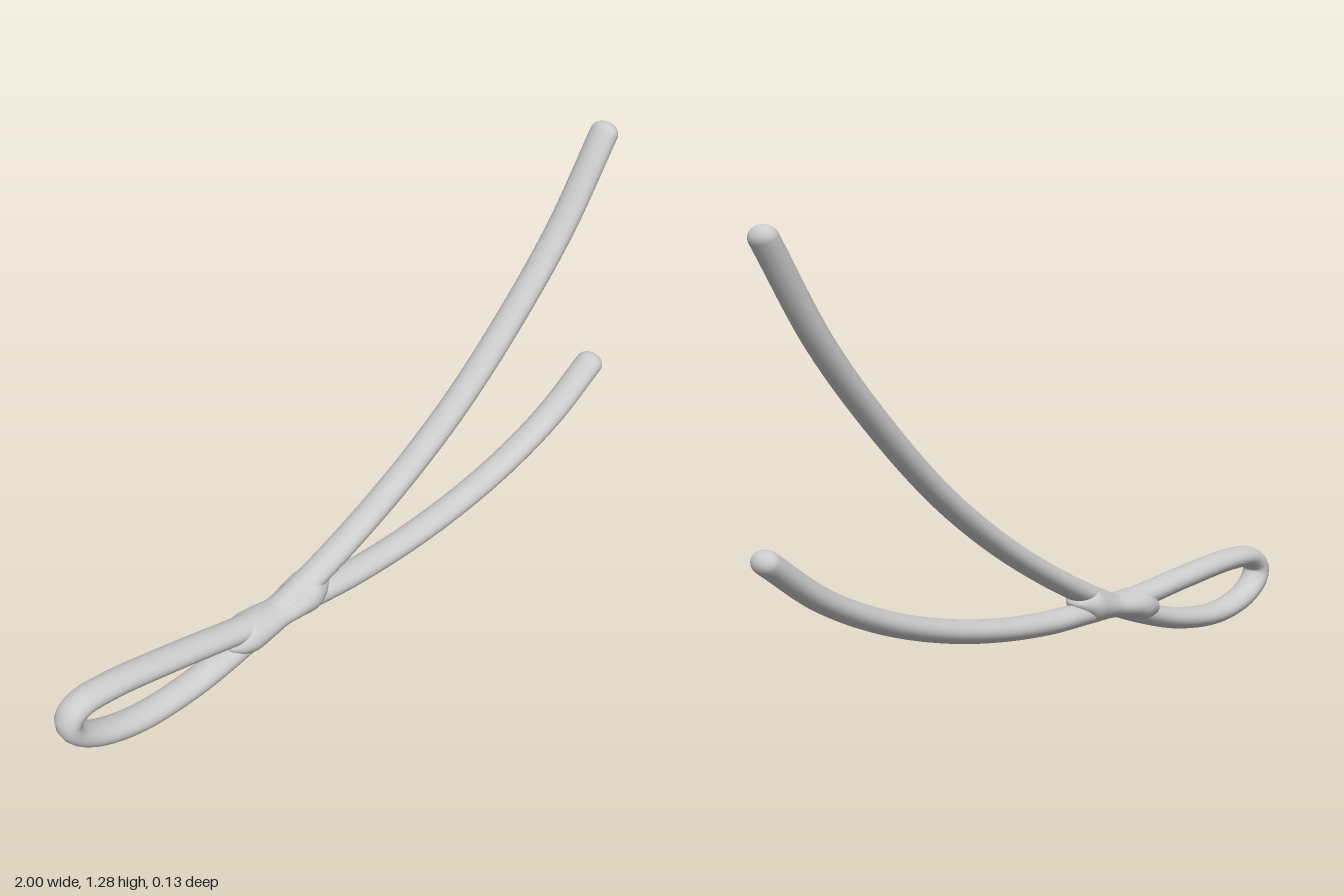
import * as THREE from 'three';

const SIDES = 28;

// Skin a list of sections { p, t, a, b }: centre, tangent in the xy plane,
// half thickness in that plane and half depth along z.
function loft(sections) {
  const pos = [], idx = [];
  sections.forEach(({ p, t, a, b }, i) => {
    for (let j = 0; j < SIDES; j++) {
      const th = (j / SIDES) * Math.PI * 2;
      const u = Math.cos(th) * a;
      pos.push(p.x - t.y * u, p.y + t.x * u, Math.sin(th) * b);
      if (i === sections.length - 1) continue;
      const k = i * SIDES + j, n = i * SIDES + ((j + 1) % SIDES);
      idx.push(k, n, k + SIDES, n, n + SIDES, k + SIDES);
    }
  });
  const g = new THREE.BufferGeometry();
  g.setAttribute('position', new THREE.Float32BufferAttribute(pos, 3));
  g.setIndex(idx);
  g.computeVertexNormals();
  return g;
}

const curveThrough = (pts) =>
  new THREE.CatmullRomCurve3(pts.map(([x, y]) => new THREE.Vector3(x, y, 0)), false, 'centripetal');

// Oval rod along a curve with domed ends
function rod(pts, a, b) {
  const curve = curveThrough(pts), N = 220, CAP = 8, sections = [];
  const dome = (u, sign, i) => {
    const t = curve.getTangentAt(u), ang = (i / CAP) * Math.PI / 2;
    const p = curve.getPointAt(u).addScaledVector(t, sign * a * Math.sin(ang));
    sections.push({ p, t, a: a * Math.cos(ang), b: b * Math.cos(ang) });
  };
  for (let i = CAP; i > 0; i--) dome(0, -1, i);
  for (let i = 0; i <= N; i++) {
    sections.push({ p: curve.getPointAt(i / N), t: curve.getTangentAt(i / N), a, b });
  }
  for (let i = 1; i <= CAP; i++) dome(1, 1, i);
  return loft(sections);
}

export function createModel() {
  const group = new THREE.Group();
  const material = new THREE.MeshStandardMaterial({ color: 0xcccccc });
  const add = (name, geometry) => {
    const mesh = new THREE.Mesh(geometry, material);
    mesh.name = name;
    group.add(mesh);
  };

  // One continuous rod: long arm, loop, short arm
  add('loopedRod', rod([
    [0.949, 1.245], [0.79, 0.99], [0.6, 0.763], [0.4, 0.565], [0.2, 0.41], [0, 0.285],
    [-0.2, 0.182], [-0.4, 0.102], [-0.58, 0.05], [-0.76, 0.033], [-0.89, 0.06],
    [-0.955, 0.105], [-0.966, 0.145], [-0.928, 0.18], [-0.835, 0.19], [-0.6, 0.173],
    [-0.4, 0.152], [-0.27, 0.147], [-0.136, 0.146], [0, 0.147], [0.2, 0.166],
    [0.4, 0.205], [0.6, 0.267], [0.8, 0.362], [0.966, 0.483],
  ], 0.032, 0.045));

  // Swollen weld where the strands cross: x, y, half height, half depth
  const profile = [
    [-0.46, 0.118, 0.008, 0.02], [-0.425, 0.123, 0.035, 0.053], [-0.38, 0.131, 0.049, 0.065],
    [-0.33, 0.139, 0.041, 0.062], [-0.27, 0.147, 0.034, 0.055], [-0.22, 0.158, 0.041, 0.061],
    [-0.17, 0.171, 0.053, 0.065], [-0.135, 0.178, 0.035, 0.052], [-0.1, 0.183, 0.008, 0.02],
  ];
  const centre = curveThrough(profile);
  const size = new THREE.CatmullRomCurve3(profile.map((s) => new THREE.Vector3(s[2], s[3], 0)));
  const sections = [];
  for (let i = 0; i <= 64; i++) {
    const u = i / 64, s = size.getPoint(u);
    const end = i === 0 || i === 64 ? 0 : 1;
    sections.push({ p: centre.getPoint(u), t: new THREE.Vector3(1, 0, 0), a: s.x * end, b: s.y * end });
  }
  add('crossingWeld', loft(sections));

  return group;
}
